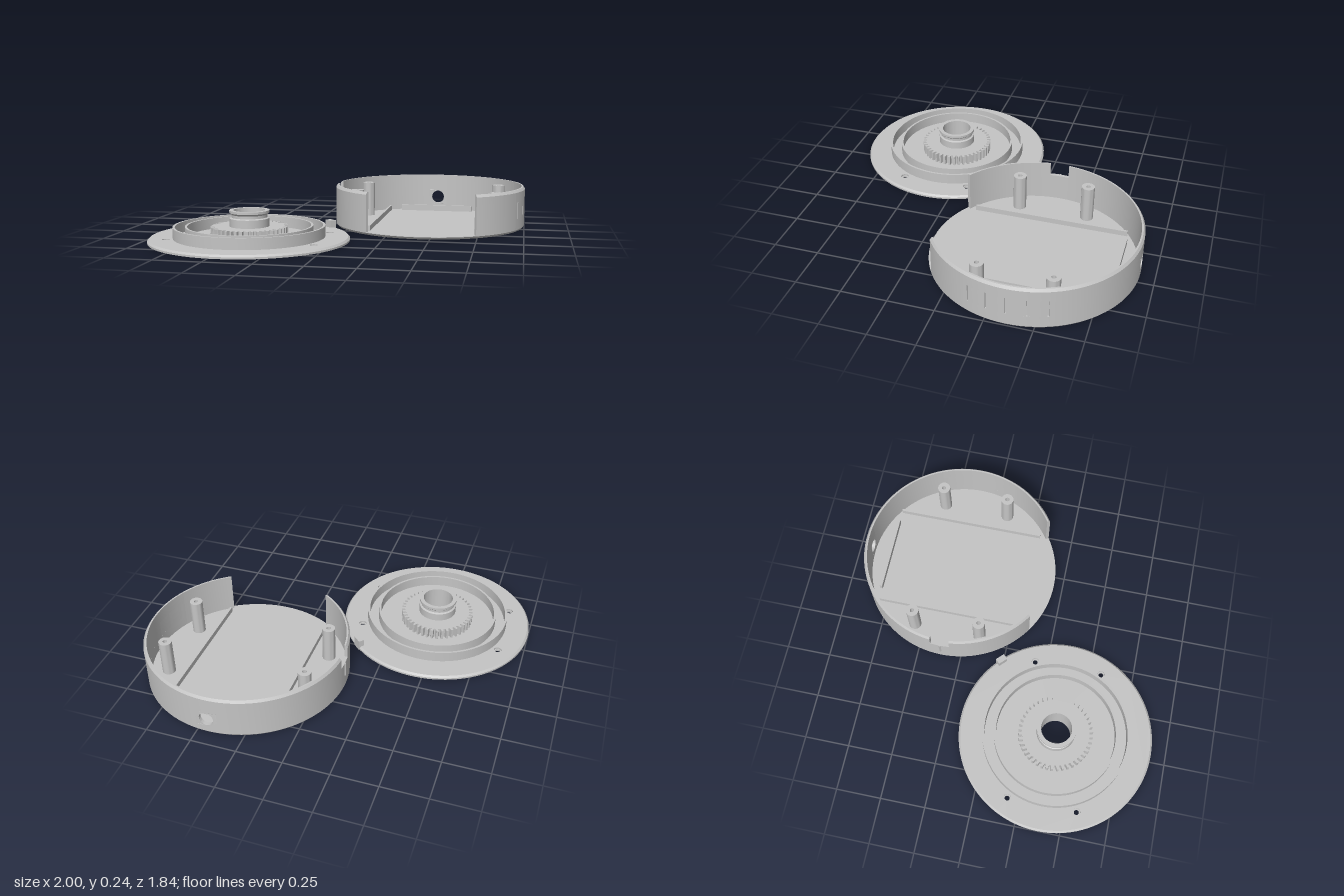
import * as THREE from 'three';
import { toCreasedNormals } from 'three/addons/utils/BufferGeometryUtils.js';

const grey = new THREE.MeshStandardMaterial({ color: 0xc4c4c4, side: THREE.DoubleSide });
grey.name = 'plastic light grey';

const RAD = Math.PI / 180;

function add(parent, name, geo, x = 0, y = 0, z = 0) {
  const mesh = new THREE.Mesh(toCreasedNormals(geo, 0.5), grey);
  mesh.name = name;
  mesh.position.set(x, y, z);
  parent.add(mesh);
  return mesh;
}

// closed ring or solid of revolution from [radius, height] pairs
function turned(points, segments = 96, start = 0, length = Math.PI * 2) {
  const pts = points.map(([r, y]) => new THREE.Vector2(r, y));
  return new THREE.LatheGeometry([...pts, pts[0].clone()], segments, start, length);
}

const tube = (ri, ro, y0, y1, seg) => turned([[ri, y0], [ro, y0], [ro, y1], [ri, y1]], seg);

function circleHole(shape, x, y, r) {
  shape.holes.push(new THREE.Path().absarc(x, y, r, 0, Math.PI * 2, true));
}

// plan shape extruded upwards
function slab(shape, height) {
  const geo = new THREE.ExtrudeGeometry(shape, { depth: height, bevelEnabled: false, curveSegments: 48 });
  return geo.rotateX(-Math.PI / 2);
}

// move every vertex by a rule
function reshape(geo, rule) {
  const p = geo.attributes.position;
  for (let i = 0; i < p.count; i++) p.setXYZ(i, ...rule(p.getX(i), p.getY(i), p.getZ(i)));
  geo.computeVertexNormals();
  return geo;
}

const SCREWS = [[-0.402, -0.193], [0.402, -0.193], [-0.402, 0.193], [0.402, 0.193]];

function buildCase() {
  const g = new THREE.Group();
  g.name = 'case';
  const ri = 0.541, ro = 0.56, floor = 0.015, top = 0.24;

  add(g, 'caseFloor', turned([[0, 0], [ro - 0.01, 0], [ro, 0.012], [ro, floor], [0, floor]]));

  // wall piece between two angles (0 = front, 90 = left side)
  const wall = (a0, a1, y0 = floor, y1 = top, outer = ro) => {
    const c = y1 === top ? 0.014 : 0;
    const profile = [[ri, y0], [outer, y0], [outer, y1 - c], [outer - c * 0.7, y1], [ri, y1]];
    add(g, 'caseWall', turned(profile, Math.ceil((a1 - a0) / 3), a0 * RAD, (a1 - a0) * RAD));
    for (const a of [a0, a1]) {
      const cap = new THREE.ShapeGeometry(new THREE.Shape(profile.map(([r, y]) => new THREE.Vector2(r, y))));
      add(g, 'caseWallEnd', cap.rotateY(a * RAD - Math.PI / 2));
    }
  };
  wall(33, 66);
  wall(114, 174);
  wall(186, 264.4);
  wall(264.4, 275.6, floor, 0.165); // notch in the rim
  wall(275.6, 327);

  // five grooves on the outside of the left wall
  wall(66, 114, floor, 0.075);
  wall(66, 114, 0.17, top);
  let from = 66;
  for (const a of [69, 79.5, 90, 100.5, 111]) {
    wall(from, a - 0.4, 0.075, 0.17);
    wall(a - 0.4, a + 0.4, 0.075, 0.17, ri + 0.01);
    from = a + 0.4;
  }
  wall(from, 114, 0.075, 0.17);

  // alignment rib below the notch
  add(g, 'alignmentRib', new THREE.CylinderGeometry(0.01, 0.01, 0.085, 4), -0.556, 0.1225, 0);

  // round cable hole at the back, bent onto the wall
  wall(174, 186, floor, 0.05);
  wall(174, 186, 0.14, top);
  const half = 6 * RAD * ro, steps = 12, edge = [];
  for (let i = 0; i <= steps; i++) edge.push(new THREE.Vector2(half * (2 * i / steps - 1), 0.05));
  for (let i = steps; i >= 0; i--) edge.push(new THREE.Vector2(half * (2 * i / steps - 1), 0.14));
  const panel = new THREE.Shape(edge);
  circleHole(panel, 0, 0.095, 0.04);
  const panelGeo = new THREE.ExtrudeGeometry(panel, { depth: ro - ri, bevelEnabled: false, curveSegments: 24 });
  add(g, 'cableHolePanel', reshape(panelGeo, (x, y, z) => {
    const a = Math.PI + x / ro, r = ri + z;
    return [r * Math.sin(a), y, r * Math.cos(a)];
  }));

  // screw posts
  for (const [x, z] of SCREWS) {
    add(g, 'screwPost', tube(0.012, 0.036, floor, 0.22, 32), x, 0, z);
  }

  // guide rails on the floor
  for (const s of [-1, 1]) {
    add(g, 'sideRail', new THREE.BoxGeometry(0.012, 0.03, 0.86), s * 0.297, 0.03, -0.012);
  }
  add(g, 'backRail', new THREE.BoxGeometry(0.45, 0.037, 0.016), 0, 0.0325, -0.444);
  return g;
}

function buildLid() {
  const g = new THREE.Group();
  g.name = 'lid';
  const R = 0.544;

  // disc in two layers, the upper one bevelled and with wider screw recesses
  const disc = (topR, holeR, y) => {
    const s = new THREE.Shape().absarc(0, 0, R, 0, Math.PI * 2, false);
    circleHole(s, 0, 0, 0.085);
    SCREWS.forEach(([x, z]) => circleHole(s, x, -z, holeR));
    const geo = reshape(slab(s, 0.01), (px, py, pz) => {
      const k = py > 0.005 && Math.hypot(px, pz) > R - 0.01 ? topR / R : 1;
      return [px * k, py, pz * k];
    });
    add(g, 'lidDisc', geo, 0, y, 0);
  };
  disc(R, 0.014, 0);
  disc(R - 0.01, 0.021, 0.01);

  // two concentric walls
  add(g, 'outerRing', tube(0.398, 0.41, 0.019, 0.08));
  add(g, 'innerRing', tube(0.333, 0.345, 0.019, 0.08));

  // toothed wheel
  const teeth = 44, gear = new THREE.Shape();
  for (let i = 0; i < teeth; i++) {
    [[0, 0.188], [0.32, 0.188], [0.45, 0.209], [0.82, 0.209], [0.95, 0.188]].forEach(([f, r], k) => {
      const a = ((i + f) / teeth) * Math.PI * 2;
      const x = r * Math.cos(a), y = r * Math.sin(a);
      if (i === 0 && k === 0) gear.moveTo(x, y);
      else gear.lineTo(x, y);
    });
  }
  circleHole(gear, 0, 0, 0.085);
  add(g, 'gear', slab(gear, 0.057), 0, 0.019, 0);

  // flanged hollow hub
  add(g, 'hub', turned([
    [0.085, 0.02], [0.107, 0.02], [0.107, 0.12], [0.097, 0.125], [0.097, 0.14],
    [0.108, 0.15], [0.108, 0.163], [0.085, 0.163],
  ], 64));

  // locking tab at the edge
  const tab = add(g, 'lockingTab', new THREE.BoxGeometry(0.034, 0.06, 0.055), 0.365, 0.03, -0.385);
  tab.rotation.y = Math.PI / 4;
  return g;
}

export function createModel() {
  const model = new THREE.Group();
  model.name = 'roundEnclosure';
  const body = buildCase();
  body.position.set(0.44, 0, -0.362);
  const lid = buildLid();
  lid.position.set(-0.456, 0, 0.375);
  model.add(body, lid);
  return model;
}
